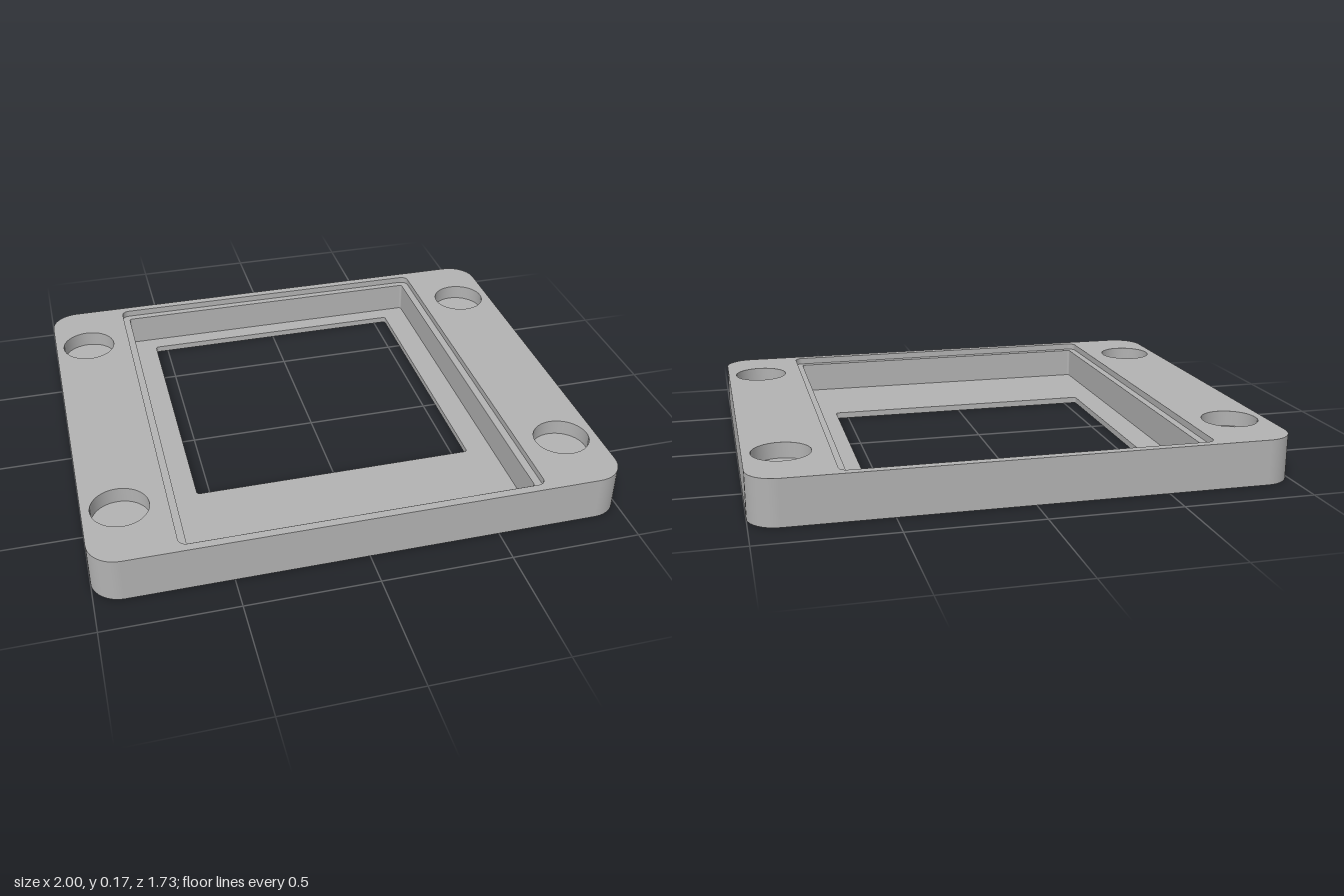
import * as THREE from 'three';

const grey = new THREE.MeshStandardMaterial({ color: 0xb2b2b2 });
grey.name = 'plain grey';

// Rounded rectangle on the ground plane, with its outward normals (a circle when hx = hz = r)
function outline(hx, hz, r, cx = 0, cz = 0, steps = 10) {
  const points = [];
  [[1, 1], [-1, 1], [-1, -1], [1, -1]].forEach(([sx, sz], corner) => {
    for (let i = 0; i <= steps; i++) {
      const a = (corner + i / steps) * Math.PI / 2;
      const nx = Math.cos(a), nz = Math.sin(a);
      points.push({ x: cx + sx * (hx - r) + r * nx, z: cz + sz * (hz - r) + r * nz, nx, nz });
    }
  });
  return points;
}

// Upright wall along an outline, facing outward or into the opening
function wall(name, points, y0, y1, inward = false) {
  const position = [], normal = [], index = [];
  const s = inward ? -1 : 1;
  points.forEach((p, i) => {
    position.push(p.x, y0, p.z, p.x, y1, p.z);
    normal.push(s * p.nx, 0, s * p.nz, s * p.nx, 0, s * p.nz);
    const a = 2 * i, b = 2 * ((i + 1) % points.length);
    if (inward) index.push(a, b, a + 1, a + 1, b, b + 1);
    else index.push(a, a + 1, b, a + 1, b + 1, b);
  });
  const g = new THREE.BufferGeometry();
  g.setAttribute('position', new THREE.Float32BufferAttribute(position, 3));
  g.setAttribute('normal', new THREE.Float32BufferAttribute(normal, 3));
  g.setIndex(index);
  return named(name, g);
}

// Level face with openings, facing up or down
function face(name, points, openings, y, up = true) {
  const s = up ? -1 : 1;
  const flat = (list) => list
    .map((p) => new THREE.Vector2(p.x, s * p.z))
    .filter((p, i, all) => i === 0 || p.distanceTo(all[i - 1]) > 1e-5);
  const shape = new THREE.Shape(flat(points));
  shape.holes = openings.map((o) => new THREE.Path(flat(o)));
  const g = new THREE.ShapeGeometry(shape);
  g.rotateX(s * Math.PI / 2);
  g.translate(0, y, 0);
  return named(name, g);
}

function named(name, geometry) {
  const mesh = new THREE.Mesh(geometry, grey);
  mesh.name = name;
  return mesh;
}

export function createModel() {
  const model = new THREE.Group();
  model.name = 'framePlate';

  const top = 0.174, ledgeY = 0.148, holeY = 0.114, floorY = 0.025;
  const rim = outline(1, 0.863, 0.11);
  const ledge = outline(0.685, 0.83, 0.03);
  const pocket = outline(0.655, 0.8, 0.01);
  const opening = outline(0.553, 0.556, 0.012, 0, -0.172);
  const holes = [];
  for (const x of [-0.86, 0.86])
    for (const z of [-0.573, 0.573]) holes.push(outline(0.108, 0.108, 0.108, x, z, 12));

  // Outer body
  model.add(
    wall('outerWall', rim, 0, top),
    face('topFace', rim, [ledge, ...holes], top),
    face('underside', rim, [opening], 0, false),
  );

  // Stepped pocket and the window through its floor
  model.add(
    wall('ledgeWall', ledge, ledgeY, top, true),
    face('ledge', ledge, [pocket], ledgeY),
    wall('pocketWall', pocket, floorY, ledgeY, true),
    face('pocketFloor', pocket, [opening], floorY),
    wall('windowEdge', opening, 0, floorY, true),
  );

  // Blind round holes near the corners
  holes.forEach((h) => {
    const hole = new THREE.Group();
    hole.name = 'cornerHole';
    hole.add(wall('holeWall', h, holeY, top, true), face('holeFloor', h, [], holeY));
    model.add(hole);
  });

  return model;
}
